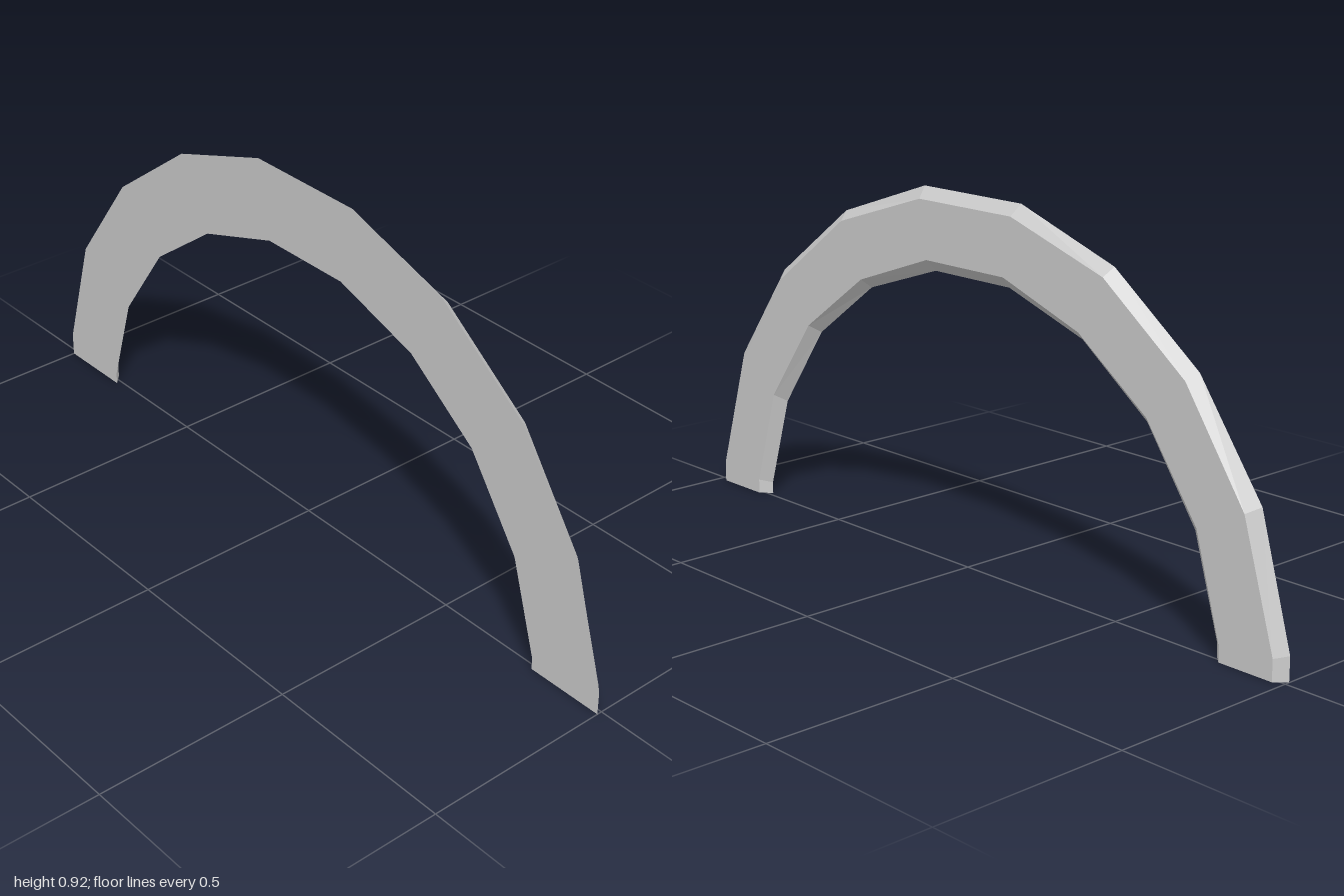
import * as THREE from 'three';

const HALF_WIDTH = 0.013;

// Half profiles [z, y] from the foot to the crown; the arch mirrors in z.
const OUTER_WIDE = [[1, 0], [1, 0.06], [0.91, 0.37], [0.724, 0.628], [0.466, 0.82], [0.167, 0.921]];
const OUTER_NARROW = [[0.974, 0], [0.974, 0.053], [0.883, 0.354], [0.706, 0.61], [0.455, 0.798], [0.158, 0.893]];
const INNER_NARROW = [[0.823, 0], [0.823, 0.037], [0.749, 0.289], [0.595, 0.505], [0.381, 0.66], [0.134, 0.747]];
const INNER_WIDE = [[0.796, 0], [0.796, 0.03], [0.723, 0.273], [0.574, 0.487], [0.37, 0.638], [0.129, 0.718]];

// Full edge line of the arch, front foot to back foot
function archLine(half, x) {
  const mirrored = half.map(([z, y]) => [-z, y]).reverse();
  return [...half, ...mirrored].map(([z, y]) => [x, y, z]);
}

// Closed trapezoid section swept along the four edge lines
function archGeometry() {
  const lines = [
    archLine(OUTER_WIDE, -HALF_WIDTH),
    archLine(OUTER_NARROW, HALF_WIDTH),
    archLine(INNER_NARROW, HALF_WIDTH),
    archLine(INNER_WIDE, -HALF_WIDTH),
  ];
  const positions = [];
  const quad = (a, b, c, d) => positions.push(...a, ...b, ...c, ...a, ...c, ...d);
  const last = lines[0].length - 1;

  for (let i = 0; i < last; i++) {
    for (let k = 0; k < 4; k++) {
      const p = lines[k];
      const q = lines[(k + 1) % 4];
      quad(p[i], q[i], q[i + 1], p[i + 1]);
    }
  }

  // Flat feet
  const [a, b, c, d] = lines;
  quad(d[0], c[0], b[0], a[0]);
  quad(a[last], b[last], c[last], d[last]);

  const geometry = new THREE.BufferGeometry();
  geometry.setAttribute('position', new THREE.Float32BufferAttribute(positions, 3));
  geometry.computeVertexNormals();
  return geometry;
}

export function createModel() {
  const group = new THREE.Group();
  group.name = 'archTrim';
  const material = new THREE.MeshStandardMaterial({ color: 0xcccccc, flatShading: true });
  const arch = new THREE.Mesh(archGeometry(), material);
  arch.name = 'bevelledArch';
  group.add(arch);
  return group;
}
